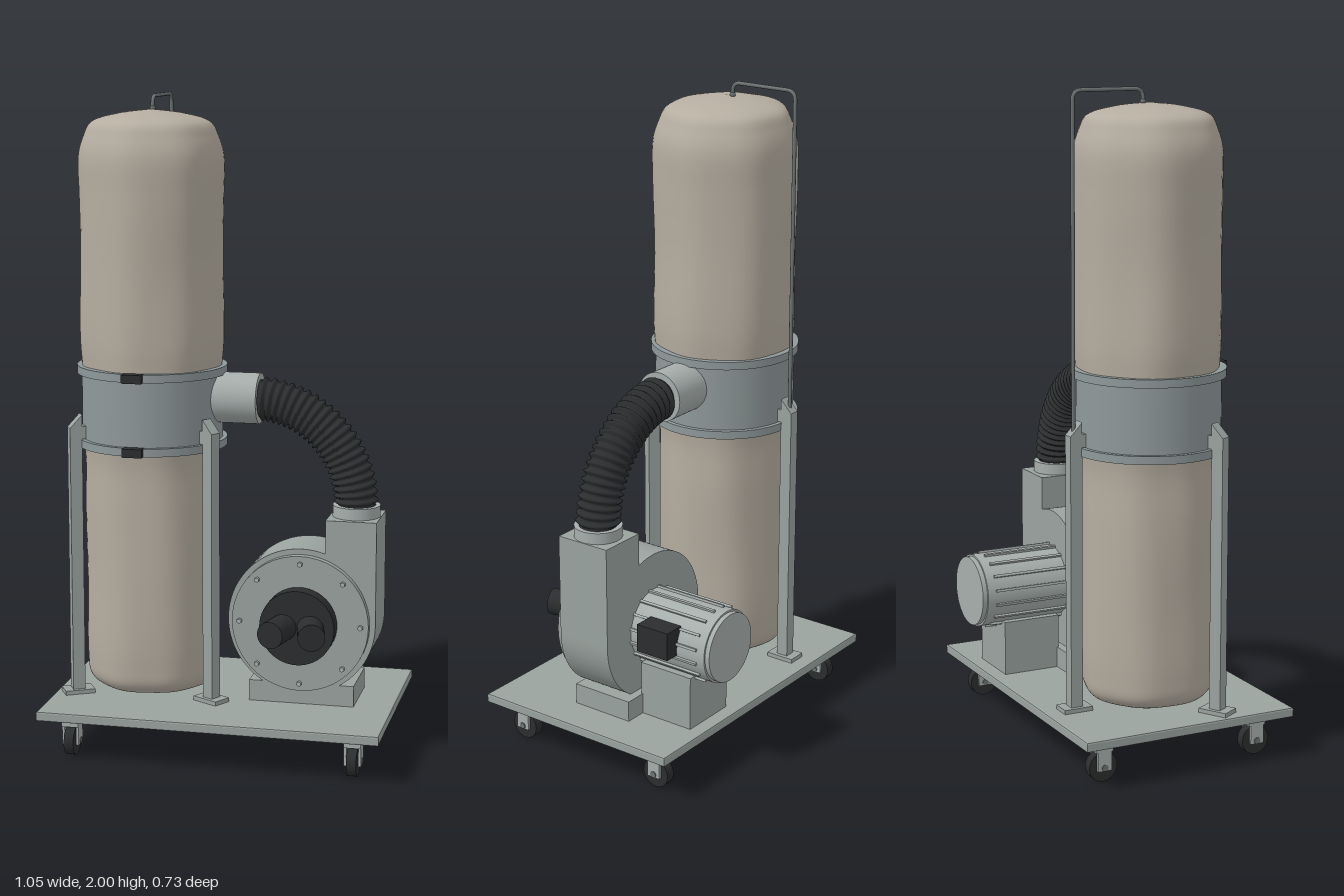
import * as THREE from 'three';

const mat = (color) => new THREE.MeshStandardMaterial({ color });
const METAL = mat(0x9aa39f), DRUM = mat(0x8f999a), LIGHT = mat(0xa6aeac);
const DARK = mat(0x2b2d2e), STEEL = mat(0x6c7272), BAG = mat(0xb5ada0);
BAG.side = THREE.DoubleSide;

// Shared axes: filter column and blower
const CX = -0.245, CZ = 0.012, BX = 0.243, BY = 0.415;

function add(parent, name, geometry, material, x = 0, y = 0, z = 0) {
  const mesh = new THREE.Mesh(geometry, material);
  mesh.name = name;
  mesh.position.set(x, y, z);
  parent.add(mesh);
  return mesh;
}

// Box given by its extents
function box(parent, name, m, x0, x1, y0, y1, z0, z1) {
  return add(parent, name, new THREE.BoxGeometry(x1 - x0, y1 - y0, z1 - z0), m,
    (x0 + x1) / 2, (y0 + y1) / 2, (z0 + z1) / 2);
}

// Upright cylinder between two heights
function drum(parent, name, m, r, y0, y1, x, z) {
  return add(parent, name, new THREE.CylinderGeometry(r, r, y1 - y0, 48), m, x, (y0 + y1) / 2, z);
}

// Cylinder lying along z between two depths
function disc(parent, name, m, r, z0, z1, x, y, sides = 48) {
  const g = new THREE.CylinderGeometry(r, r, z1 - z0, sides).rotateX(Math.PI / 2);
  return add(parent, name, g, m, x, y, (z0 + z1) / 2);
}

// Cloth bag: a turned profile with soft vertical folds
function bag(parent, name, points, phase) {
  const curve = new THREE.CatmullRomCurve3(points.map(([r, y]) => new THREE.Vector3(r, y, 0)), false, 'centripetal');
  const profile = curve.getPoints(60).map((p) => new THREE.Vector2(Math.max(p.x, 0), p.y));
  const g = new THREE.LatheGeometry(profile, 72);
  const pos = g.attributes.position;
  for (let i = 0; i < pos.count; i++) {
    const x = pos.getX(i), y = pos.getY(i), z = pos.getZ(i);
    const a = Math.atan2(z, x);
    const k = 1 + 0.014 * Math.sin(7 * a + phase + 0.5 * Math.sin(5 * y))
      + 0.012 * Math.sin(3 * a + phase * 2) + 0.006 * Math.sin(11 * y + 2 * a);
    pos.setX(i, x * k);
    pos.setZ(i, z * k);
  }
  g.computeVertexNormals();
  // Match normals along the closing seam
  const n = g.attributes.normal, rows = profile.length, last = 72 * rows;
  for (let j = 0; j < rows; j++) {
    const v = new THREE.Vector3().fromBufferAttribute(n, j)
      .add(new THREE.Vector3().fromBufferAttribute(n, last + j)).normalize();
    n.setXYZ(j, v.x, v.y, v.z);
    n.setXYZ(last + j, v.x, v.y, v.z);
  }
  add(parent, name, g, BAG, CX, 0, CZ);
}

function caster(parent, x, z) {
  const c = new THREE.Group();
  c.name = 'caster';
  c.position.set(x, 0, z);
  box(c, 'casterPlate', LIGHT, -0.033, 0.033, 0.112, 0.125, -0.033, 0.033);
  box(c, 'casterForkTop', LIGHT, -0.026, 0.026, 0.093, 0.113, -0.028, 0.028);
  for (const s of [-1, 1]) box(c, 'casterForkSide', LIGHT, s * 0.022 - 0.004, s * 0.022 + 0.004, 0.035, 0.1, -0.022, 0.022);
  add(c, 'casterWheel', new THREE.CylinderGeometry(0.045, 0.045, 0.03, 32).rotateZ(Math.PI / 2), DARK, 0, 0.045, 0);
  add(c, 'casterAxle', new THREE.CylinderGeometry(0.01, 0.01, 0.058, 16).rotateZ(Math.PI / 2), STEEL, 0, 0.045, 0);
  parent.add(c);
}

// Post with a sloping top and a foot plate, built along +z then turned about the column
function leg(parent, angle) {
  const l = new THREE.Group();
  l.name = 'supportLeg';
  l.position.set(CX, 0, CZ);
  l.rotation.y = angle;
  const s = new THREE.Shape([[0.228, 0.165], [0.266, 0.165], [0.266, 0.995], [0.228, 1.035]]
    .map(([a, b]) => new THREE.Vector2(-a, b)));
  const g = new THREE.ExtrudeGeometry(s, { depth: 0.036, bevelEnabled: false });
  g.translate(0, 0, -0.018).rotateY(Math.PI / 2);
  add(l, 'legPost', g, METAL);
  box(l, 'legFoot', METAL, -0.031, 0.031, 0.155, 0.168, 0.2, 0.293);
  box(l, 'legBracket', METAL, -0.018, 0.018, 0.96, 1.0, 0.21, 0.23);
  parent.add(l);
}

export function createModel() {
  const model = new THREE.Group();
  model.name = 'dustCollector';

  // Wheeled base
  const plate = new THREE.Shape([[-0.52, -0.355], [0.52, -0.355], [0.52, 0.325], [-0.52, 0.325]]
    .map(([x, y]) => new THREE.Vector2(x, y)));
  const plateGeo = new THREE.ExtrudeGeometry(plate, { depth: 0.02, bevelThickness: 0.005, bevelSize: 0.005, bevelSegments: 2 });
  add(model, 'basePlate', plateGeo.rotateX(-Math.PI / 2), METAL, 0, 0.13, 0);
  for (const x of [-0.437, 0.437]) for (const z of [0.272, -0.242]) caster(model, x, z);

  // Filter column
  bag(model, 'lowerBag', [[0, 0.185], [0.1, 0.176], [0.165, 0.178], [0.195, 0.205], [0.204, 0.27],
    [0.205, 0.5], [0.206, 0.75], [0.205, 0.88], [0.212, 0.95]], 0.6);
  bag(model, 'upperBag', [[0.213, 1.17], [0.219, 1.26], [0.217, 1.5], [0.22, 1.7], [0.219, 1.82],
    [0.203, 1.875], [0.18, 1.917], [0.1, 1.943], [0, 1.955]], 2.1);
  drum(model, 'collectorDrum', DRUM, 0.217, 0.945, 1.175, CX, CZ);
  for (const y of [0.933, 1.157]) {
    drum(model, 'bagClampBand', DRUM, 0.231, y, y + 0.025, CX, CZ);
    box(model, 'clampLatch', DARK, CX - 0.031, CX + 0.031, y, y + 0.026, CZ + 0.215, 0.26);
  }
  for (const a of [Math.PI, Math.PI / 3, -Math.PI / 3]) leg(model, a);

  // Bent rod that holds up the bag
  const rod = new THREE.CurvePath();
  const v = (y, z) => new THREE.Vector3(CX, y, z);
  rod.add(new THREE.LineCurve3(v(0.99, -0.236), v(1.965, -0.236)));
  rod.add(new THREE.QuadraticBezierCurve3(v(1.965, -0.236), v(1.994, -0.236), v(1.994, -0.207)));
  rod.add(new THREE.LineCurve3(v(1.994, -0.207), v(1.994, -0.037)));
  rod.add(new THREE.QuadraticBezierCurve3(v(1.994, -0.037), v(1.994, -0.01), v(1.965, -0.01)));
  rod.add(new THREE.LineCurve3(v(1.965, -0.01), v(1.95, -0.01)));
  add(model, 'bagHangerRod', new THREE.TubeGeometry(rod, 240, 0.006, 10), STEEL);
  add(model, 'hangerTip', new THREE.SphereGeometry(0.009, 12, 8), STEEL, CX, 1.957, -0.01);

  // Blower housing: round scroll with a square outlet rising on its left side
  const R = 0.228, outIn = 0.315 - BX;
  const s = new THREE.Shape();
  s.moveTo(R, 0);
  s.lineTo(R, 0.32);
  s.lineTo(outIn, 0.32);
  const a0 = Math.acos(outIn / R);
  s.lineTo(outIn, Math.sin(a0) * R);
  s.absarc(0, 0, R, a0, Math.PI * 2, false);
  const scroll = new THREE.ExtrudeGeometry(s, { depth: 0.18, bevelEnabled: false, curveSegments: 48 });
  add(model, 'blowerHousing', scroll, METAL, BX, BY, -0.078);
  box(model, 'blowerSaddle', METAL, 0.08, 0.406, 0.155, 0.22, -0.105, 0.1);
  disc(model, 'blowerFrontPlate', METAL, 0.211, 0.1, 0.127, BX, BY);
  for (let i = 0; i < 8; i++) {
    const a = i * Math.PI / 4;
    disc(model, 'plateBolt', LIGHT, 0.008, 0.12, 0.139, BX + 0.187 * Math.cos(a), BY + 0.187 * Math.sin(a), 6);
  }

  // Twin intake
  disc(model, 'intakeHub', DARK, 0.115, 0.127, 0.178, BX, BY);
  for (const side of [-1, 1]) {
    const pipe = disc(model, 'intakePort', DARK, 0.041, 0.14, 0.272, BX + side * 0.049, BY, 32);
    pipe.rotation.y = side * 0.22;
  }

  // Motor with cooling ribs, end cap, mount and switch box
  disc(model, 'motorBody', LIGHT, 0.114, -0.35, -0.07, BX, BY);
  disc(model, 'motorEndCap', LIGHT, 0.108, -0.365, -0.345, BX, BY);
  for (let i = 0; i < 16; i++) {
    const a = (i + 0.5) * Math.PI / 8;
    const rib = add(model, 'motorRib', new THREE.BoxGeometry(0.012, 0.008, 0.245), LIGHT,
      BX + 0.115 * Math.cos(a), BY + 0.115 * Math.sin(a), -0.2);
    rib.rotation.z = a;
  }
  box(model, 'motorMount', METAL, 0.15, 0.336, 0.155, 0.325, -0.285, -0.1);
  box(model, 'switchBox', DARK, 0.335, 0.404, 0.4, 0.488, -0.25, -0.138);

  // Pipe collars
  drum(model, 'outletCollar', LIGHT, 0.073, 0.73, 0.77, 0.395, CZ);
  add(model, 'drumInletPipe', new THREE.CylinderGeometry(0.078, 0.078, 0.18, 40).rotateZ(Math.PI / 2), LIGHT, 0.005, 1.085, CZ);

  // Ribbed flexible hose: a tube with its rings scaled in and out
  const bend = new THREE.CatmullRomCurve3(Array.from({ length: 13 }, (_, i) => {
    const t = i / 12 * Math.PI / 2;
    return new THREE.Vector3(0.085 + 0.31 * Math.sin(t), 0.76 + 0.325 * Math.cos(t), CZ);
  }));
  const SEG = 132, SIDES = 32;
  const hose = new THREE.TubeGeometry(bend, SEG, 0.062, SIDES);
  const pos = hose.attributes.position, p = new THREE.Vector3();
  for (let i = 0; i <= SEG; i++) {
    const c = bend.getPointAt(i / SEG);
    const k = 1 + 0.1 * Math.cos(i / 6 * Math.PI * 2);
    for (let j = 0; j <= SIDES; j++) {
      const n = i * (SIDES + 1) + j;
      p.fromBufferAttribute(pos, n).sub(c).multiplyScalar(k).add(c);
      pos.setXYZ(n, p.x, p.y, p.z);
    }
  }
  hose.computeVertexNormals();
  add(model, 'flexibleHose', hose, DARK);

  return model;
}
